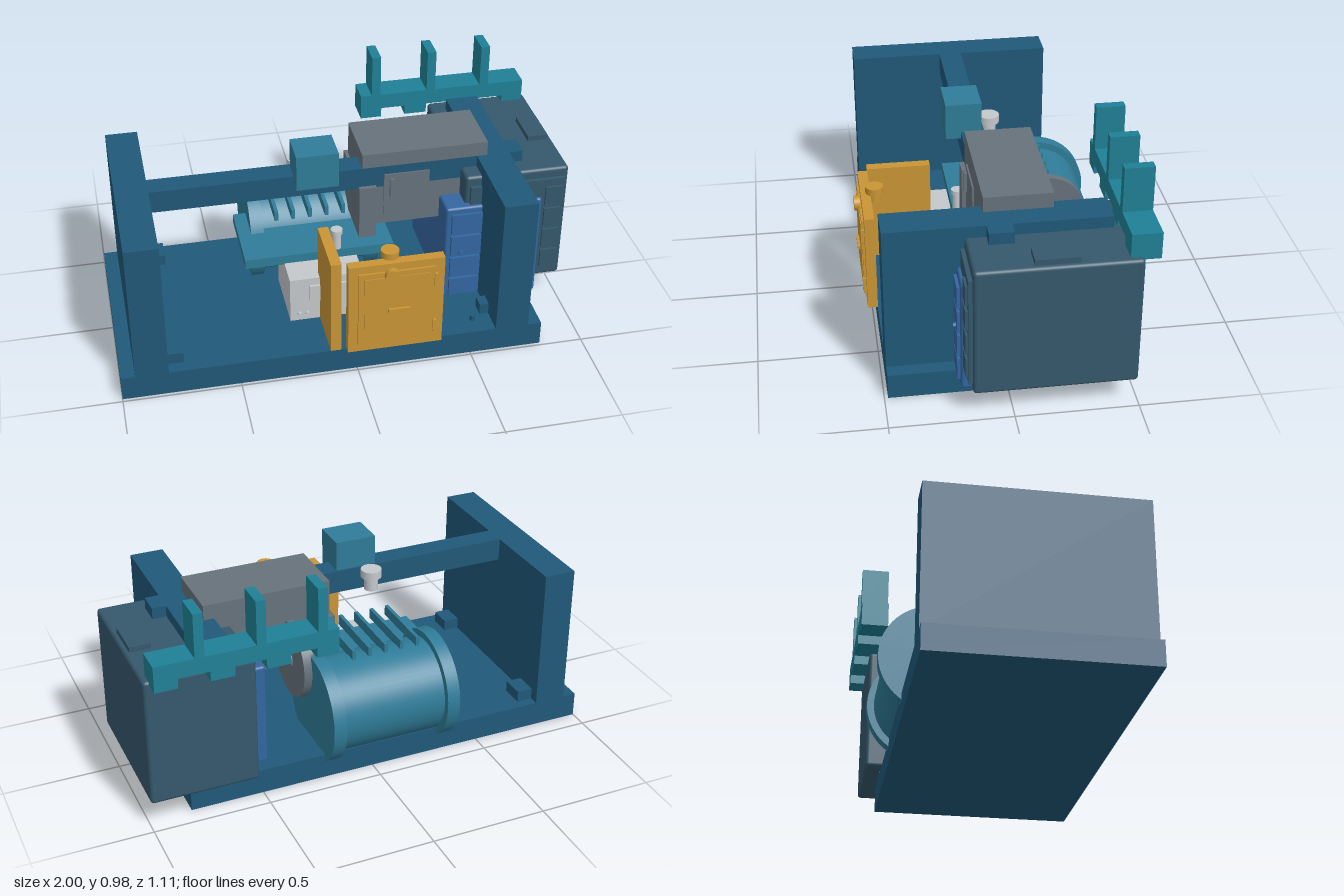
import * as THREE from 'three';
import { RoundedBoxGeometry } from 'three/addons/geometries/RoundedBoxGeometry.js';

const COLORS = {
  frame: 0x205878, motor: 0x2f7c98, rail: 0x1f8096, slate: 0x35586c,
  blue: 0x3366a0, orange: 0xc89435, grey: 0x66727c, light: 0xc4c8cc,
};

export function createModel() {
  const model = new THREE.Group();
  const mats = {};
  for (const k in COLORS) mats[k] = new THREE.MeshStandardMaterial({ color: COLORS[k] });

  const add = (name, geo, mat, x, y, z) => {
    const mesh = new THREE.Mesh(geo, mats[mat]);
    mesh.name = name;
    mesh.position.set(x, y, z);
    model.add(mesh);
    return mesh;
  };
  // Box given by its limits on each axis; r > 0 rounds the edges
  const box = (name, mat, x0, x1, y0, y1, z0, z1, r = 0) => {
    const s = [x1 - x0, y1 - y0, z1 - z0];
    const geo = r ? new RoundedBoxGeometry(...s, 3, r) : new THREE.BoxGeometry(...s);
    return add(name, geo, mat, (x0 + x1) / 2, (y0 + y1) / 2, (z0 + z1) / 2);
  };
  // Cylinder along a chosen axis
  const cyl = (name, mat, r, len, axis, x, y, z, seg = 32) => {
    const geo = new THREE.CylinderGeometry(r, r, len, seg);
    if (axis === 'x') geo.rotateZ(Math.PI / 2);
    if (axis === 'z') geo.rotateX(Math.PI / 2);
    return add(name, geo, mat, x, y, z);
  };

  // Frame: base, two end walls, top beam and corner blocks
  box('base', 'frame', -1, 0.815, 0, 0.11, -0.42, 0.485);
  box('rightWall', 'frame', -0.94, -0.8, 0.11, 0.74, -0.42, 0.485);
  box('leftWall', 'frame', 0.61, 0.755, 0.11, 0.74, -0.42, 0.485);
  box('topBeam', 'frame', -0.8, 0.815, 0.64, 0.74, -0.02, 0.08);
  for (const z of [-0.325, 0.38]) {
    box('cornerBlock', 'frame', -0.8, -0.73, 0.11, 0.16, z - 0.05, z + 0.05);
    box('cornerBlock', 'frame', 0.57, 0.61, 0.11, 0.16, z - 0.07, z - 0.01);
  }
  cyl('floorStud', 'frame', 0.012, 0.03, 'y', 0.53, 0.12, 0.4, 16);

  // Motor drum with end flanges and cooling fins
  const my = 0.27, mz = -0.285;
  cyl('motorDrum', 'motor', 0.205, 0.56, 'x', -0.07, my, mz, 64);
  for (const x of [-0.33, 0.192]) cyl('motorFlange', 'motor', 0.235, 0.057, 'x', x, my, mz, 64);
  for (let i = 0; i < 5; i++) {
    const x = -0.255 + i * 0.074;
    box('coolingFin', 'motor', x - 0.008, x + 0.008, 0.47, 0.515, -0.31, 0);
  }
  box('motorShelf', 'motor', -0.415, 0.24, 0.32, 0.365, -0.24, 0.12);

  // Pump body in front of the motor
  box('pumpBody', 'light', -0.245, 0.075, 0.11, 0.325, -0.05, 0.25);
  box('pumpCover', 'light', -0.16, 0.03, 0.21, 0.29, 0.25, 0.262);
  for (const x of [-0.205, -0.17]) cyl('pumpBolt', 'light', 0.01, 0.02, 'z', x, 0.145, 0.255, 12);
  cyl('pumpStem', 'light', 0.02, 0.1, 'y', -0.01, 0.4, 0.1, 20);
  cyl('pumpStemCap', 'light', 0.026, 0.02, 'y', -0.01, 0.45, 0.1, 20);
  cyl('fillerNeck', 'light', 0.03, 0.06, 'y', -0.15, 0.68, -0.06);
  cyl('fillerCap', 'light', 0.045, 0.035, 'y', -0.15, 0.727, -0.06);

  // Block on the beam
  box('beamBlock', 'motor', -0.19, -0.01, 0.71, 0.87, -0.01, 0.145);

  // Grey housing with mounting plate, access panel and side wheel
  box('housing', 'grey', 0.105, 0.655, 0.45, 0.805, -0.2, 0.08);
  box('housingPlate', 'grey', 0.09, 0.165, 0.4, 0.65, -0.225, 0.1);
  box('housingPanel', 'grey', 0.2, 0.4, 0.5, 0.7, 0.08, 0.087);
  box('housingHandle', 'grey', 0.225, 0.242, 0.59, 0.68, 0.087, 0.1);
  cyl('sideWheel', 'grey', 0.165, 0.035, 'x', 0.285, 0.5, -0.235, 48);
  cyl('wheelHub', 'grey', 0.04, 0.1, 'x', 0.26, 0.5, -0.235, 24);

  // Blue cabinet with stacked front strips
  box('blueCabinet', 'blue', 0.45, 0.88, 0.065, 0.56, -0.35, 0.197, 0.012);
  for (let i = 0; i < 4; i++) {
    const y = 0.095 + i * 0.112;
    box('blueCabinetStrip', 'blue', 0.475, 0.855, y, y + 0.1, 0.19, 0.21);
  }
  for (const x of [0.52, 0.82]) cyl('blueCabinetKnob', 'blue', 0.011, 0.02, 'z', x, 0.335, 0.212, 16);

  // Slate tank with stepped front panel and lid
  box('slateTank', 'slate', 0.54, 1, 0.125, 0.69, -0.49, 0.165, 0.015);
  box('slateTankFront', 'slate', 0.56, 0.985, 0.165, 0.645, 0.16, 0.182);
  for (let i = 0; i < 4; i++) {
    const y = 0.19 + i * 0.11;
    box('slateTankPanel', 'slate', 0.895, 0.97, y, y + 0.09, 0.18, 0.192);
  }
  box('slateTankLid', 'slate', 0.89, 0.98, 0.685, 0.713, -0.245, -0.07);

  // Rear rail with posts and teeth underneath
  box('rearRail', 'rail', 0.215, 0.975, 0.72, 0.79, -0.555, -0.435);
  for (const x of [0.285, 0.54, 0.79]) box('railPost', 'rail', x - 0.02, x + 0.02, 0.79, 0.98, -0.555, -0.435);
  for (const [a, b] of [[0.215, 0.31], [0.42, 0.52], [0.65, 0.75], [0.88, 0.975]])
    box('railTooth', 'rail', a, b, 0.677, 0.72, -0.555, -0.435);

  // Orange door with side plate, inset panel, knobs and latch
  box('doorSidePlate', 'orange', -0.115, -0.07, 0.11, 0.555, 0.21, 0.485);
  box('door', 'orange', -0.05, 0.355, 0.125, 0.56, 0.485, 0.527);
  box('doorPanel', 'orange', -0.01, 0.315, 0.165, 0.525, 0.527, 0.536);
  box('doorInnerPanel', 'orange', 0.015, 0.29, 0.19, 0.5, 0.536, 0.54);
  box('doorLatch', 'orange', 0.115, 0.21, 0.328, 0.342, 0.538, 0.552);
  for (const y of [0.22, 0.46]) box('doorHinge', 'orange', 0.31, 0.325, y - 0.03, y + 0.03, 0.525, 0.542);
  cyl('doorKnob', 'orange', 0.032, 0.025, 'z', 0.13, 0.51, 0.543);
  cyl('topKnobStem', 'orange', 0.025, 0.05, 'y', 0.135, 0.545, 0.468);
  cyl('topKnob', 'orange', 0.038, 0.03, 'y', 0.135, 0.575, 0.468);

  return model;
}
